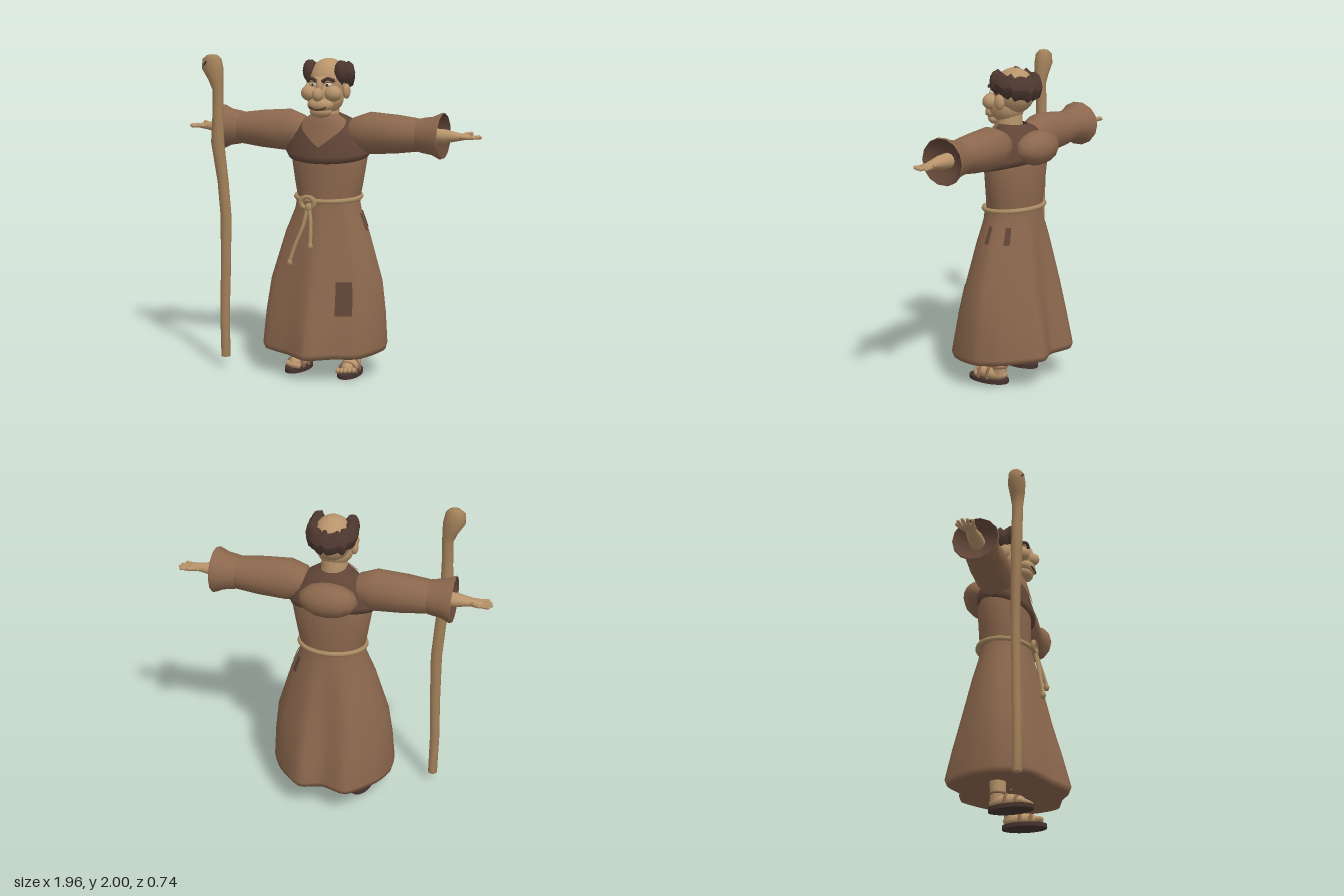
import * as THREE from 'three';

const mat = (name, color) => Object.assign(new THREE.MeshStandardMaterial({ color }), { name });
const V = (x, y, z) => new THREE.Vector3(x, y, z);
const lerp = THREE.MathUtils.lerp;
const TAU = Math.PI * 2;

// Grid surface from f(a, v): a runs round from the front towards +x, v runs upwards
function surface(f, a0, a1, na, v0, v1, nv, out = 0) {
  const closed = Math.abs(a1 - a0 - TAU) < 1e-6, cols = closed ? na : na + 1;
  const pos = [], idx = [];
  for (let j = 0; j <= nv; j++) for (let i = 0; i < cols; i++) {
    const a = lerp(a0, a1, i / na), p = f(a, lerp(v0, v1, j / nv));
    pos.push(p.x + Math.sin(a) * out, p.y, p.z + Math.cos(a) * out);
  }
  for (let j = 0; j < nv; j++) for (let i = 0; i < na; i++) {
    const A = j * cols + i, B = j * cols + (i + 1) % cols;
    idx.push(A, B, B + cols, A, B + cols, A + cols);
  }
  const g = new THREE.BufferGeometry();
  g.setAttribute('position', new THREE.Float32BufferAttribute(pos, 3));
  g.setIndex(idx);
  g.computeVertexNormals();
  return g;
}

// Interpolated row of a table
function row(table, v) {
  const i = Math.min(Math.floor(v), table.length - 2);
  return table[i].map((n, k) => lerp(n, table[i + 1][k], v - i));
}

// Elliptical rings: [height, radius x, radius z, centre x, centre z, tilt]
const rings = (table) => (a, v) => {
  const [y, rx, rz, cx = 0, cz = 0, tilt = 0] = row(table, v);
  return V(cx + rx * Math.sin(a), y - tilt * Math.cos(a), cz + rz * Math.cos(a));
};
const ringGeo = (table, n) => surface(rings(table), 0, TAU, n, 0, table.length - 1, table.length - 1);

export function createModel() {
  const root = new THREE.Group();
  root.name = 'robedMan';
  const robe = mat('robeBrown', 0x8b674d), dark = mat('darkCloth', 0x614537), skin = mat('skin', 0xb8946b);
  const hair = mat('hair', 0x4e3830), rope = mat('rope', 0xa98b62), wood = mat('wood', 0xa3815a);
  const leather = mat('leather', 0x46332e), eyeWhite = mat('eyeWhite', 0xcfc0a6);

  const add = (name, geo, m, parent = root) => {
    const mesh = new THREE.Mesh(geo, m);
    mesh.name = name;
    parent.add(mesh);
    return mesh;
  };
  const ball = (name, m, p, s, parent = root, w = 14, h = 10) => {
    const b = add(name, new THREE.SphereGeometry(1, w, h), m, parent);
    b.position.set(...p);
    b.scale.set(...s);
    return b;
  };
  const tube = (name, m, pts, r, parent = root, n = 16, closed = false) =>
    add(name, new THREE.TubeGeometry(new THREE.CatmullRomCurve3(pts.map(p => V(...p)), closed), n, r, 7, closed), m, parent);

  // Skirt: an ellipse at the waist flowing into an uneven hem
  const hem = new THREE.CatmullRomCurve3([[0, .37], [.15, .29], [.3, .24], [.37, .12], [.4, -.02], [.33, -.18],
    [.15, -.36], [0, -.32], [-.17, -.37], [-.33, -.18], [-.39, 0], [-.35, .2], [-.15, .29]].map(([x, z]) => V(x, 0, z)),
    true, 'catmullrom', .35);
  // height, spread x, spread z, shrink (closes the underside)
  const skirtRows = [[.2, 1, 1, .01], [.17, .95, .93, 1], [.205, 1, 1, 1], [.4, .94, .78, 1], [.6, .82, .53, 1],
    [.9, .36, .22, 1], [1.04, .07, .05, 1], [1.12, 0, 0, 1]];
  const skirt = (a, v) => {
    const h = hem.getPoint((((a / TAU) % 1) + 1) % 1), [y, kx, kz, s] = row(skirtRows, v), w = Math.atan2(h.x, h.z);
    const x = lerp(.2 * Math.sin(w), h.x, kx) * s, z = lerp(-.03 + .165 * Math.cos(w), h.z, kz) * s;
    return V(x, y - .07 * z * (1.12 - y), z);
  };
  add('skirt', surface(skirt, 0, TAU, 52, 0, 7, 7), robe);

  // Cloth patches following the skirt
  const step = TAU / 13;
  dark.side = THREE.DoubleSide;
  add('frontPatch', surface(skirt, step * 1.05, step * 1.7, 4, 3.15, 4.1, 4, .008), dark);
  for (const [a, b] of [[3.45, 3.8], [4.85, 5.2]])
    add('sidePatch', surface(skirt, step * a, step * b, 2, 5.15, 5.9, 2, .007), dark);

  // Torso and shoulder mantle
  add('torso', ringGeo([[1.08, .195, .16, 0, -.035], [1.2, .22, .16, 0, -.04], [1.38, .25, .165, 0, -.045],
    [1.5, .22, .14, 0, -.04], [1.6, .09, .09, 0, -.03]], 24), robe);
  const mantleRows = [[1.4, .24, .155, 0, -.04, .03], [1.38, .262, .178, 0, -.035, .04], [1.42, .285, .185, 0, -.035, .04],
    [1.53, .24, .15, 0, -.035, .02], [1.605, .15, .125, 0, -.03, .01], [1.64, .08, .095, 0, -.02, 0]];
  const mantle = rings(mantleRows);
  add('mantle', surface(mantle, 0, TAU, 28, 0, 5, 5), dark);
  const chest = (a, v) => mantle(a, Math.min(5, v + (5 - v) * Math.abs(a) * .55));
  const chestMesh = add('chestCollar', surface(chest, -1.15, 1.15, 12, 2.45, 5, 5, .008), robe);
  chestMesh.position.y = .003;

  // Hood hanging down the back
  const hood = ball('hood', robe, [-.01, 1.5, -.195], [.185, .105, .11], root, 12, 8);
  hood.rotation.x = -.15;

  // Rope belt, knot and tassels
  const belt = [];
  for (let i = 0; i < 16; i++) {
    const a = i / 16 * TAU;
    belt.push([.208 * Math.sin(a), 1.12 - .012 * Math.cos(a), -.033 + .178 * Math.cos(a)]);
  }
  tube('belt', rope, belt, .015, root, 48, true);
  const loop = add('beltLoop', new THREE.TorusGeometry(.036, .014, 7, 18), rope);
  loop.position.set(-.06, 1.1, .165);
  loop.scale.x = 1.25;
  ball('beltKnot', rope, [-.05, 1.07, .165], [.026, .03, .022]);
  for (const pts of [[[-.06, 1.08, .165], [-.075, .97, .19], [-.12, .84, .218], [-.15, .74, .235]],
    [[-.05, 1.08, .165], [-.03, 1, .188], [-.02, .92, .21], [-.015, .85, .228]]]) {
    tube('beltTail', rope, pts, .012);
    const [x, y, z] = pts[3];
    ball('tassel', rope, [x, y - .01, z], [.018, .024, .018], root, 8, 6);
  }

  // Arms: built along local +y, then laid out sideways
  for (const s of [1, -1]) {
    const arm = new THREE.Group();
    arm.name = s > 0 ? 'leftArm' : 'rightArm';
    arm.position.set(0, 1.525, -.04);
    arm.rotation.z = -s * Math.PI / 2;
    root.add(arm);
    add('sleeve', ringGeo([[.13, .05, .06], [.17, .095, .1], [.27, .132, .122], [.45, .119, .122], [.63, .096, .108]], 14), robe, arm);
    const cuffRows = [[.585, .1, .108], [.62, .108, .116], [.68, .117, .126], [.735, .143, .146], [.747, .138, .142]];
    add('cuff', ringGeo(cuffRows, 14), robe, arm);
    add('sleeveLining', ringGeo([[.747, .138, .142], [.69, .085, .09], [.685, .002, .002]], 14), dark, arm);
    add('forearm', ringGeo([[.66, .047, .048], [.76, .042, .046], [.84, .026, .034], [.87, .02, .036]], 12), skin, arm);
    ball('palm', skin, [0, .875, -.005], [.019, .045, .046], arm);
    for (let i = 0; i < 4; i++) {
      const z = -.036 + i * .022;
      const len = [.055, .068, .06, .042][i];
      tube('finger', skin, [[0, .89, z], [.002 * s, .9 + len * .5, z * 1.15], [0, .9 + len, z * 1.3]], .0105, arm, 5);
      ball('fingertip', skin, [0, .9 + len, z * 1.3], [.011, .012, .011], arm, 8, 6);
    }
    tube('thumb', skin, [[0, .85, -.02], [-.012 * s, .875, -.055], [-.015 * s, .9, -.068]], .0125, arm, 6);
    ball('thumbTip', skin, [-.015 * s, .9, -.068], [.0135, .014, .0135], arm, 8, 6);
  }

  // Head
  const head = new THREE.Group();
  head.name = 'head';
  root.add(head);
  add('neck', new THREE.CylinderGeometry(.075, .085, .14, 14), skin, head).position.set(0, 1.65, 0);
  ball('skull', skin, [0, 1.84, -.035], [.123, .14, .135], head, 20, 14);
  ball('lowerFace', skin, [0, 1.745, .02], [.115, .11, .11], head, 18, 12);
  ball('muzzle', skin, [0, 1.7, .1], [.085, .048, .06], head);
  ball('chin', skin, [0, 1.66, .095], [.072, .04, .048], head);
  ball('browRidge', skin, [0, 1.85, .065], [.095, .028, .055], head);
  ball('noseBridge', skin, [0, 1.81, .11], [.022, .055, .035], head);
  ball('nose', skin, [0, 1.765, .145], [.034, .042, .042], head);
  tube('mouth', leather, [[-.055, 1.69, .145], [-.025, 1.677, .156], [0, 1.674, .159], [.025, 1.677, .156], [.055, 1.69, .145]], .005, head);
  for (const s of [1, -1]) {
    const side = s > 0 ? 'left' : 'right';
    ball(side + 'Cheek', skin, [s * .076, 1.77, .085], [.056, .05, .055], head);
    ball(side + 'Eye', eyeWhite, [s * .05, 1.823, .094], [.024, .014, .02], head);
    ball(side + 'Pupil', leather, [s * .048, 1.823, .112], [.008, .009, .005], head, 8, 6);
    tube(side + 'Brow', hair, [[s * .018, 1.843, .119], [s * .05, 1.862, .115], [s * .088, 1.85, .088]], .011, head, 8);
    ball(side + 'Ear', skin, [s * .128, 1.78, -.01], [.022, .047, .036], head);
  }

  // Tonsure: an open ring of jagged hair, lower at the back
  const ring = new THREE.TorusGeometry(.116, .042, 8, 26, TAU - 1.6);
  ring.rotateZ(Math.PI / 2 + .8);
  ring.rotateX(Math.PI / 2);
  const p = ring.attributes.position;
  for (let i = 0; i < p.count; i++) {
    const a = Math.atan2(p.getX(i), p.getZ(i)), jag = .01 * Math.sin(a * 11) + .006 * Math.cos(a * 17);
    p.setY(i, p.getY(i) * 1.7 + jag + p.getZ(i) * .17);
  }
  ring.computeVertexNormals();
  add('hairRing', ring, hair, head).position.set(0, 1.882, -.05);
  for (const s of [1, -1]) ball('hairTuft', hair, [s * .105, 1.902, .026], [.045, .07, .043], head, 8, 6);

  // Staff with a gnarled knob
  add('staff', ringGeo([[.07, .001, .001, -.625, .185], [.07, .03, .028, -.625, .185], [.35, .031, .028, -.628, .185],
    [.65, .033, .028, -.62, .18], [.98, .036, .028, -.617, .175], [1.2, .036, .03, -.632, .18], [1.45, .043, .035, -.66, .193],
    [1.62, .035, .034, -.655, .195], [1.78, .035, .035, -.65, .198], [1.84, .048, .045, -.662, .2], [1.91, .07, .055, -.684, .2],
    [1.97, .062, .048, -.688, .2], [1.995, .035, .028, -.685, .2], [2, .001, .001, -.685, .2]], 10), wood);
  const knot = ball('staffHollow', leather, [-.715, 1.945, .241], [.025, .009, .005], root, 8, 6);
  knot.rotation.set(-.2, -.4, .8);

  // Feet in sandals
  for (const s of [1, -1]) {
    const foot = new THREE.Group();
    foot.name = s > 0 ? 'leftFoot' : 'rightFoot';
    foot.position.set(s * .173, 0, 0);
    foot.rotation.y = s * .06;
    root.add(foot);
    const sole = add('sole', new THREE.CylinderGeometry(1, 1, .026, 20), leather, foot);
    sole.position.set(0, .013, .04);
    sole.scale.set(.073, 1, .14);
    add('ankle', new THREE.CylinderGeometry(.052, .045, .17, 12), skin, foot).position.set(0, .135, -.04);
    ball('footTop', skin, [0, .055, .02], [.056, .046, .115], foot);
    for (let i = 0; i < 5; i++)
      ball('toe', skin, [s * (-.046 + i * .023), .045, .14 - i * i * .0025], [.015, .018, .025], foot, 8, 6);
    for (const [z, r, h] of [[.085, .058, .06], [.02, .06, .075]]) {
      const strap = add('strap', new THREE.TorusGeometry(r, .009, 6, 14, Math.PI), robe, foot);
      strap.position.set(0, .025, z);
      strap.scale.set(1, h / r, 1.4);
    }
    const ankleStrap = add('ankleStrap', new THREE.TorusGeometry(.049, .008, 6, 18), robe, foot);
    ankleStrap.position.set(0, .11, -.04);
    ankleStrap.rotation.x = Math.PI / 2;
  }
  return root;
}
